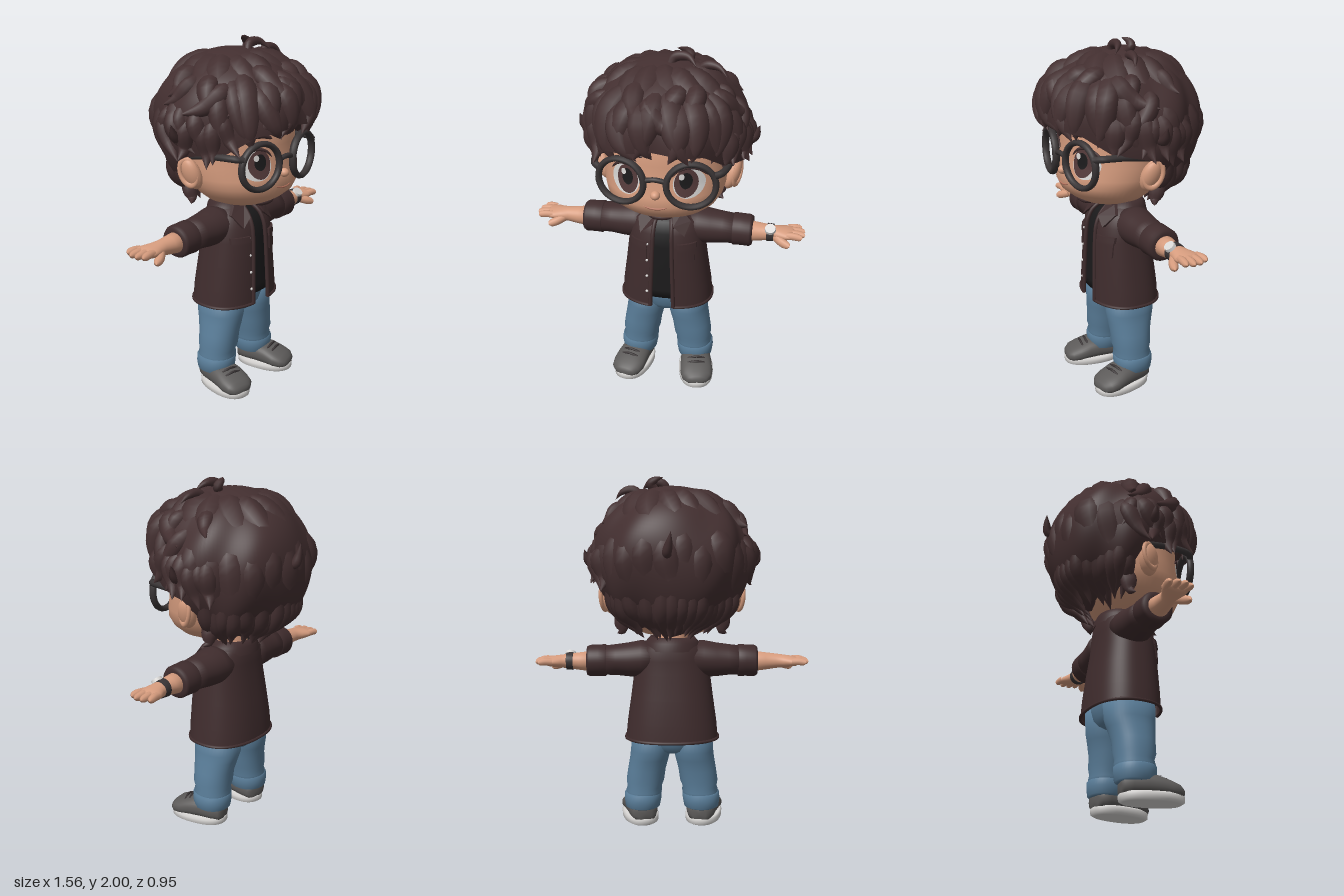
import * as THREE from 'three';
import { mergeGeometries } from 'three/addons/utils/BufferGeometryUtils.js';
import { ParametricGeometry } from 'three/addons/geometries/ParametricGeometry.js';

const V = (x, y, z) => new THREE.Vector3(x, y, z);
const mat = (name, color, side = THREE.FrontSide) => {
  const m = new THREE.MeshStandardMaterial({ color, side });
  m.name = name;
  return m;
};

// Point on a ring [y, cx, cz, rx, rz] at angle a; e < 1 squares the oval off
const ringPoint = ([y, cx, cz, rx, rz], a, e) => {
  const c = Math.cos(a), s = Math.sin(a);
  return V(cx + rx * Math.sign(c) * Math.abs(c) ** e, y, cz + rz * Math.sign(s) * Math.abs(s) ** e);
};

// Skin over rings listed from low to high; gap leaves an opening at the front
function loft(rings, { e = 1, n = 40, gap = 0 } = {}) {
  const pos = [], idx = [], cols = gap ? n + 1 : n;
  for (const r of rings) for (let j = 0; j < cols; j++) {
    pos.push(...ringPoint(r, Math.PI / 2 + gap + (2 * Math.PI - 2 * gap) * j / n, e).toArray());
  }
  for (let i = 0; i < rings.length - 1; i++) for (let j = 0; j < n; j++) {
    const a = i * cols + j, b = i * cols + (j + 1) % cols, c = a + cols, d = b + cols;
    idx.push(a, c, b, b, c, d);
  }
  if (!gap) {
    const k = rings.length * cols, top = k - cols;
    for (const r of [rings[0], rings.at(-1)]) pos.push(r[1], r[0], r[2]);
    for (let j = 0; j < n; j++) {
      const h = (j + 1) % n;
      idx.push(k, j, h, k + 1, top + h, top + j);
    }
  }
  const g = new THREE.BufferGeometry();
  g.setAttribute('position', new THREE.Float32BufferAttribute(pos, 3));
  g.setIndex(idx);
  g.computeVertexNormals();
  return g;
}

// Front surface depth of a lofted body at (x, y)
const frontOf = (rings, e) => (x, y) => {
  let i = 0;
  while (i < rings.length - 2 && rings[i + 1][0] < y) i++;
  const A = rings[i], B = rings[i + 1], t = THREE.MathUtils.clamp((y - A[0]) / (B[0] - A[0]), 0, 1);
  const [, cx, cz, rx, rz] = A.map((v, k) => v + (B[k] - v) * t);
  return cz + rz * Math.max(0, 1 - Math.abs((x - cx) / rx) ** (2 / e)) ** (e / 2);
};

// Lay a flat geometry over a front surface
function drape(g, surf, lift) {
  const p = g.attributes.position;
  for (let i = 0; i < p.count; i++) p.setZ(i, p.getZ(i) + surf(p.getX(i), p.getY(i)) + lift);
  g.computeVertexNormals();
  return g;
}

// Tube whose thickness follows a profile along its length
const LOCK = u => Math.sin(Math.PI * (0.12 + 0.88 * u) ** 0.8);
const FINGER = u => Math.sqrt(Math.max(0, 1 - u ** 7));
const SPINDLE = u => Math.sqrt(Math.max(0, Math.sin(Math.PI * u)));
function tube(pts, r, profile = () => 1, seg = 14, sides = 10) {
  const curve = new THREE.CatmullRomCurve3(pts), g = new THREE.TubeGeometry(curve, seg, r, sides);
  const p = g.attributes.position, v = V(0, 0, 0);
  for (let i = 0; i < p.count; i++) {
    const u = Math.floor(i / (sides + 1)) / seg, c = curve.getPointAt(u);
    v.fromBufferAttribute(p, i).sub(c).multiplyScalar(profile(u)).add(c);
    p.setXYZ(i, v.x, v.y, v.z);
  }
  return g;
}

// Hair surface: azimuth 0 is the front, polar 0 the crown
function hairPoint(az, p, lift = 0) {
  const front = Math.max(0, Math.cos(az));
  const ridge = 0.012 * Math.sin(6 * az + 3 * p + Math.sin(3 * az)) * THREE.MathUtils.smoothstep(p, 0.3, 1.3);
  const k = 1 + 0.05 * front * Math.exp(-(((p - 1.13) / 0.45) ** 2)), c = Math.cos(p), s = Math.sin(p);
  return V(Math.sin(az) * s * (0.435 * k + ridge + lift), 1.56 + c * ((c > 0 ? 0.39 : 0.46) * k + ridge + lift),
    Math.cos(az) * s * (0.43 * k + ridge + lift));
}
const RIM = [[0, 1.52], [0.6, 1.6], [0.95, 1.8], [1.6, 1.9], [1.95, 2.5], [3.15, 2.75]];
function hairRim(az) {
  const a = Math.abs(az), i = Math.max(1, RIM.findIndex(r => r[0] >= a));
  return THREE.MathUtils.mapLinear(a, RIM[i - 1][0], RIM[i][0], RIM[i - 1][1], RIM[i][1]);
}

export function createModel() {
  const M = {
    hair: mat('hairBrown', 0x432f30), jacket: mat('jacketBrown', 0x3f2c2d, THREE.DoubleSide),
    skin: mat('skin', 0xd69c7e), shirt: mat('shirtBlack', 0x1b1a1b), denim: mat('denimBlue', 0x5b7f9b),
    shoe: mat('shoeGrey', 0x5c5a59), light: mat('offWhite', 0xd8d6d4), frame: mat('frameCharcoal', 0x393435),
    iris: mat('irisBrown', 0x543a3a), lip: mat('lipRose', 0xb87560),
  };
  const model = new THREE.Group();
  model.name = 'figure';
  const add = (name, g, m, parent = model) => {
    const mesh = new THREE.Mesh(g, m);
    mesh.name = name;
    parent.add(mesh);
    return mesh;
  };
  const ball = (name, m, c, r) => {
    const b = add(name, new THREE.SphereGeometry(1, 24, 16), m);
    b.position.set(...c);
    b.scale.set(...r);
    return b;
  };

  // Head
  const head = [[1.105, 0, 0.08, 0.08, 0.08], [1.12, 0, 0.085, 0.16, 0.145], [1.15, 0, 0.085, 0.235, 0.2],
    [1.19, 0, 0.085, 0.285, 0.25], [1.24, 0, 0.08, 0.317, 0.278], [1.29, 0, 0.065, 0.332, 0.287],
    [1.36, 0, 0.05, 0.338, 0.287], [1.46, 0, 0.04, 0.342, 0.29], [1.57, 0, 0.04, 0.34, 0.29],
    [1.7, 0, 0.02, 0.29, 0.26], [1.8, 0, 0, 0.18, 0.17]];
  const faceZ = frontOf(head, 1);
  const onFace = (x, y, lift = 0) => V(x, y, faceZ(x, y) + lift);
  add('head', loft(head, { n: 56 }), M.skin);
  add('neck', new THREE.CylinderGeometry(0.085, 0.095, 0.2, 24), M.skin).position.set(0, 1.06, 0);
  ball('nose', M.skin, [0, 1.31, 0.352], [0.026, 0.024, 0.028]);
  add('mouth', tube([-0.065, -0.035, 0, 0.035, 0.065].map(x => onFace(x, 1.232 + 3 * x * x)), 0.006, SPINDLE), M.lip);
  ball('goatee', M.hair, [0, 1.128, 0.215], [0.07, 0.024, 0.045]);

  // Eyes, brows, ears and glasses
  const disc = (name, m, x, y, rx, ry, lift) => {
    const g = new THREE.RingGeometry(0.001, 1, 36, 5);
    g.scale(rx, ry, 1).translate(x, y, 0);
    add(name, drape(g, faceZ, lift), m);
  };
  for (const s of [1, -1]) {
    disc('eyeWhite', M.light, s * 0.168, 1.37, 0.08, 0.08, 0.003);
    disc('iris', M.iris, s * 0.155, 1.375, 0.06, 0.077, 0.006);
    disc('pupil', M.shirt, s * 0.155, 1.388, 0.032, 0.044, 0.009);
    disc('eyeGlint', M.light, s * 0.155 - 0.022, 1.412, 0.014, 0.017, 0.012);
    add('lashes', tube([0.078, 0.11, 0.165, 0.22, 0.258].map((x, i) =>
      onFace(s * x, [1.405, 1.44, 1.458, 1.44, 1.4][i], 0.004)), 0.009, SPINDLE), M.hair);
    add('brow', tube([[0.07, 1.503], [0.13, 1.527], [0.19, 1.527], [0.24, 1.505]].map(([x, y]) =>
      onFace(s * x, y)), 0.017, SPINDLE), M.hair);
    ball('ear', M.skin, [s * 0.36, 1.32, 0.015], [0.042, 0.092, 0.056]).rotation.set(-0.2, 0, -s * 0.3);
    const rim = add('earRim', new THREE.TorusGeometry(0.047, 0.012, 10, 28), M.skin);
    rim.position.set(s * 0.384, 1.33, 0.012);
    rim.rotation.set(0, s * 1.2, -s * 0.3);
    rim.scale.y = 1.5;
    const lens = add('glassesRim', new THREE.TorusGeometry(0.121, 0.016, 10, 40), M.frame);
    lens.position.set(s * 0.185, 1.375, 0.338);
    lens.rotation.y = s * 0.2;
    lens.scale.set(1.06, 1, 1.3);
    add('glassesTemple', tube([V(s * 0.3, 1.43, 0.318), V(s * 0.335, 1.437, 0.29), V(s * 0.36, 1.435, 0.15),
      V(s * 0.365, 1.415, 0.0)], 0.019), M.frame);
  }
  add('glassesBridge', tube([V(-0.068, 1.39, 0.358), V(0, 1.405, 0.366), V(0.068, 1.39, 0.358)], 0.014), M.frame);

  // Hair cap, tucked under at its edge
  const hair = new THREE.Group();
  hair.name = 'hair';
  model.add(hair);
  add('hairCap', new ParametricGeometry((u, v, out) => {
    const az = (0.5 - u) * 2 * Math.PI, t = Math.min(1, v / 0.94), tuck = Math.max(0, v - 0.94) / 0.06;
    out.copy(hairPoint(az, 0.01 + t * (hairRim(az) - 0.01), -0.13 * tuck));
  }, 140, 50), M.hair, hair);

  // Loose curls: start, sweep, thickness, tip flick and depth on the hair surface
  let seed = 7;
  const rnd = (a, b) => a + (b - a) * ((seed = (seed * 16807) % 2147483647) / 2147483647);
  const curls = [];
  const curl = (az, p, dAz, dP, r, flick, depth) => curls.push(tube([hairPoint(az, p, depth - 0.03),
    hairPoint(az + dAz * 0.15, p + dP * 0.35, depth), hairPoint(az + dAz * 0.5, p + dP * 0.75, depth),
    hairPoint(az + dAz, p + dP, flick)], r, LOCK));
  for (let i = 0; i < 15; i++) {                                  // broad sweeps from the crown
    curl(i * 0.419, rnd(0.1, 0.25), rnd(0.35, 0.7), rnd(0.9, 1.15), rnd(0.085, 0.105), -0.02, -0.068);
  }
  for (let i = 0; i < 12; i++) {                                  // broad sweeps down the back
    curl(1.7 + i * 0.262, rnd(1.0, 1.2), rnd(-0.1, 0.3), rnd(0.95, 1.15), rnd(0.08, 0.095), -0.02, -0.066);
  }
  for (let i = 0; i < 13; i++) {                                  // fringe
    const az = -1.08 + i * 0.18, p = rnd(0.7, 0.95), end = 1.6 + 0.2 * Math.abs(az) + rnd(-0.05, 0.08);
    curl(az, p, rnd(-0.35, 0.35), end - p, rnd(0.055, 0.075), rnd(-0.05, -0.02), -0.022);
  }
  for (let i = 0; i < 14; i++) {                                  // top and temples
    curl(-1.8 + i * 0.277, rnd(0.6, 1.0), rnd(-0.6, 0.6), rnd(0.4, 0.6), rnd(0.045, 0.065), rnd(0, 0.035), -0.015);
  }
  for (const s of [1, -1]) for (let i = 0; i < 9; i++) {          // sides and around the ears
    curl(s * (1.02 + i * 0.115), rnd(1.2, 1.45), s * rnd(-0.35, 0.2), rnd(0.42, 0.58), rnd(0.045, 0.06), rnd(-0.01, 0.05), -0.016);
  }
  for (let i = 0; i < 19; i++) {                                  // nape
    curl(1.85 + i * 0.144, rnd(1.95, 2.1), rnd(-0.15, 0.15), rnd(0.62, 0.75), rnd(0.04, 0.055), rnd(0, 0.03), -0.015);
  }
  const wisps = [[[0.02, 1.92, 0.08], [0.05, 1.965, 0.07], [0.12, 1.972, 0.08], [0.17, 1.93, 0.12]],
    [[0.08, 1.92, 0.02], [0.12, 1.96, 0.0], [0.09, 1.985, 0.0], [0.05, 1.998, 0.02]],
    [[0.16, 1.89, 0.05], [0.22, 1.93, 0.06], [0.28, 1.92, 0.07], [0.32, 1.88, 0.09]],
    [[0.02, 1.58, -0.4], [0.03, 1.59, -0.44], [0.02, 1.64, -0.455], [0.01, 1.7, -0.46]]];
  for (const w of wisps) curls.push(tube(w.map(p => V(...p)), 0.026, LOCK));
  for (const s of [1, -1]) {
    curls.push(tube([V(s * 0.4, 1.58, 0), V(s * 0.44, 1.53, 0), V(s * 0.47, 1.54, 0), V(s * 0.495, 1.6, 0)], 0.035, LOCK));
    curls.push(tube([V(s * 0.24, 1.28, -0.08), V(s * 0.28, 1.2, -0.07), V(s * 0.28, 1.15, -0.06), V(s * 0.31, 1.13, -0.04)], 0.05, LOCK));
  }
  add('curls', mergeGeometries(curls), M.hair, hair);

  // Shirt and open jacket
  const E = 0.85, GAP = 0.2;
  const coat = [[0.525, 0, 0.01, 0.265, 0.197], [0.62, 0, 0.012, 0.256, 0.193], [0.76, 0, 0.018, 0.236, 0.182],
    [0.9, 0, 0.025, 0.218, 0.168], [0.98, 0, 0.022, 0.208, 0.16], [1.04, 0, 0.01, 0.19, 0.142], [1.085, 0, -0.01, 0.13, 0.105]];
  const coatZ = frontOf(coat, E);
  add('shirt', loft(coat.map(([y, cx, cz, rx, rz], i) => [i ? y : 0.575, cx, cz, rx - 0.02, rz - 0.016]), { e: E }), M.shirt);
  add('jacketBody', loft(coat, { e: E, n: 64, gap: GAP }), M.jacket);
  const hem = Array.from({ length: 49 }, (_, i) => ringPoint(coat[0], Math.PI / 2 + GAP + (2 * Math.PI - 2 * GAP) * i / 48, E));
  add('jacketHem', tube(hem, 0.009, undefined, 96, 6), M.jacket);
  add('collarBand', loft([[1.035, 0, -0.01, 0.165, 0.135], [1.08, 0, -0.012, 0.152, 0.125], [1.112, 0, -0.015, 0.125, 0.105],
    [1.09, 0, -0.015, 0.105, 0.09]], { gap: 0.55 }), M.jacket);
  for (const s of [1, -1]) {
    add('jacketPlacket', tube(coat.map(r => ringPoint(r, Math.PI / 2 - s * GAP, E)), 0.012, undefined, 24), M.jacket);
    const flap = new THREE.Shape([[0.045, 1.085], [0.1, 1.095], [0.15, 1.05], [0.125, 0.985], [0.06, 1.035]]
      .map(([x, y]) => new THREE.Vector2(s * x, y)));
    add('collarFlap', drape(new THREE.ExtrudeGeometry(flap, { depth: 0.018, bevelEnabled: false }), coatZ, 0.006), M.jacket);
    const plate = (name, x, y, w, h, t) => add(name,
      drape(new THREE.BoxGeometry(w, h, t, 8, 6, 1).translate(s * x, y, 0), coatZ, 0.002), M.jacket);
    plate('chestPocket', 0.135, 0.865, 0.09, 0.1, 0.012);
    plate('pocketFlap', 0.135, 0.915, 0.1, 0.035, 0.024);
  }
  for (const y of [0.62, 0.72, 0.82, 0.92]) ball('button', M.light, [-0.085, y, coatZ(-0.085, y) + 0.006], [0.008, 0.008, 0.006]);

  // Arms: rings run outward as [x, centre y, half height, half depth, centre z]
  for (const s of [1, -1]) {
    const arm = new THREE.Group();
    arm.name = s > 0 ? 'leftArm' : 'rightArm';
    model.add(arm);
    const limb = (name, rows, m) => {
      add(name, loft(rows.map(([x, y, h, d, z = 0]) => [x, -s * y, z, h, d])), m, arm).rotation.z = -s * Math.PI / 2;
    };
    limb('sleeve', [[0.1, 0.985, 0.095, 0.115], [0.18, 0.98, 0.105, 0.115], [0.25, 0.975, 0.097, 0.105],
      [0.32, 0.974, 0.088, 0.096], [0.4, 0.97, 0.083, 0.09]], M.jacket);
    limb('sleeveCuff', [[0.37, 0.97, 0.078, 0.084], [0.38, 0.97, 0.092, 0.097], [0.42, 0.97, 0.09, 0.094],
      [0.47, 0.968, 0.09, 0.094], [0.485, 0.968, 0.081, 0.085], [0.486, 0.968, 0.06, 0.06]], M.jacket);
    limb('forearm', [[0.45, 0.965, 0.06, 0.064], [0.53, 0.965, 0.05, 0.054], [0.59, 0.966, 0.042, 0.045],
      [0.63, 0.966, 0.037, 0.055, -0.004], [0.67, 0.966, 0.032, 0.068, -0.01], [0.705, 0.967, 0.026, 0.07, -0.014],
      [0.72, 0.967, 0.016, 0.062, -0.014]], M.skin);
    [[-0.064, -0.078, 0.758], [-0.03, -0.036, 0.778], [0.004, 0.006, 0.78], [0.034, 0.044, 0.765]].forEach(([z0, z1, x]) =>
      add('finger', tube([V(s * 0.68, 0.97, z0), V(s * 0.72, 0.972, (z0 + z1) / 2), V(s * x, 0.966, z1)], 0.021, FINGER), M.skin, arm));
    add('thumb', tube([V(s * 0.61, 0.957, 0.02), V(s * 0.655, 0.938, 0.055), V(s * 0.7, 0.922, 0.072)], 0.025, FINGER), M.skin, arm);
    if (s > 0) {
      limb('watchStrap', [[0.565, 0.966, 0.045, 0.048], [0.567, 0.966, 0.051, 0.054],
        [0.603, 0.966, 0.049, 0.052], [0.605, 0.966, 0.043, 0.046]], M.frame);
      const dial = add('watchDial', new THREE.CylinderGeometry(0.029, 0.032, 0.018, 28), M.light, arm);
      dial.position.set(0.585, 1.004, 0.034);
      dial.rotation.x = 0.65;
    }
  }

  // Jeans
  add('jeansHips', loft([[0.435, 0, 0.005, 0.07, 0.07], [0.455, 0, 0.006, 0.14, 0.11], [0.49, 0, 0.007, 0.19, 0.135],
    [0.54, 0, 0.008, 0.222, 0.147], [0.6, 0, 0.01, 0.225, 0.155]]), M.denim);
  for (const s of [1, -1]) {
    const leg = (name, rows) => add(name, loft(rows.map(([y, x, z, w, d]) => [y, s * x, z, w, d]), { e: 0.92 }), M.denim);
    leg('jeansLeg', [[0.13, 0.17, 0.012, 0.095, 0.1], [0.2, 0.164, 0.014, 0.105, 0.108], [0.225, 0.161, 0.014, 0.1, 0.103],
      [0.26, 0.157, 0.016, 0.11, 0.113], [0.33, 0.147, 0.016, 0.11, 0.116], [0.4, 0.132, 0.012, 0.113, 0.13],
      [0.45, 0.123, 0.008, 0.116, 0.14], [0.57, 0.115, 0.006, 0.118, 0.146]]);
    leg('jeansCuff', [[0.1, 0.172, 0.012, 0.087, 0.092], [0.108, 0.172, 0.012, 0.101, 0.106], [0.15, 0.171, 0.012, 0.108, 0.112],
      [0.185, 0.169, 0.013, 0.108, 0.112], [0.196, 0.168, 0.013, 0.097, 0.1]]);

    // Shoes, turned slightly outward
    const shoe = new THREE.Group();
    shoe.name = s > 0 ? 'leftShoe' : 'rightShoe';
    shoe.position.set(s * 0.19, 0, 0.095);
    shoe.rotation.y = s * 0.2;
    model.add(shoe);
    add('sole', loft([[0, 0, 0, 0.086, 0.155], [0.01, 0, 0, 0.102, 0.172], [0.038, 0, 0, 0.104, 0.174],
      [0.048, 0, 0, 0.094, 0.165]], { e: 0.85 }), M.light, shoe);
    add('shoeUpper', loft([[-0.168, 0, -0.075, 0.04, 0.04], [-0.155, 0, -0.08, 0.07, 0.056], [-0.11, 0, -0.085, 0.084, 0.064],
      [-0.03, 0, -0.088, 0.089, 0.066], [0.03, 0, -0.083, 0.094, 0.062], [0.09, 0, -0.07, 0.097, 0.052],
      [0.135, 0, -0.062, 0.087, 0.042], [0.16, 0, -0.055, 0.06, 0.028], [0.168, 0, -0.052, 0.03, 0.014]], { e: 0.88 }),
    M.shoe, shoe).rotation.x = Math.PI / 2;
    [[0.01, 0.15], [0.04, 0.144], [0.07, 0.133]].forEach(([z, y]) => add('lace',
      tube([V(-0.05, y - 0.015, z), V(0, y, z + 0.006), V(0.05, y - 0.015, z)], 0.007), M.frame, shoe));
  }
  return model;
}
